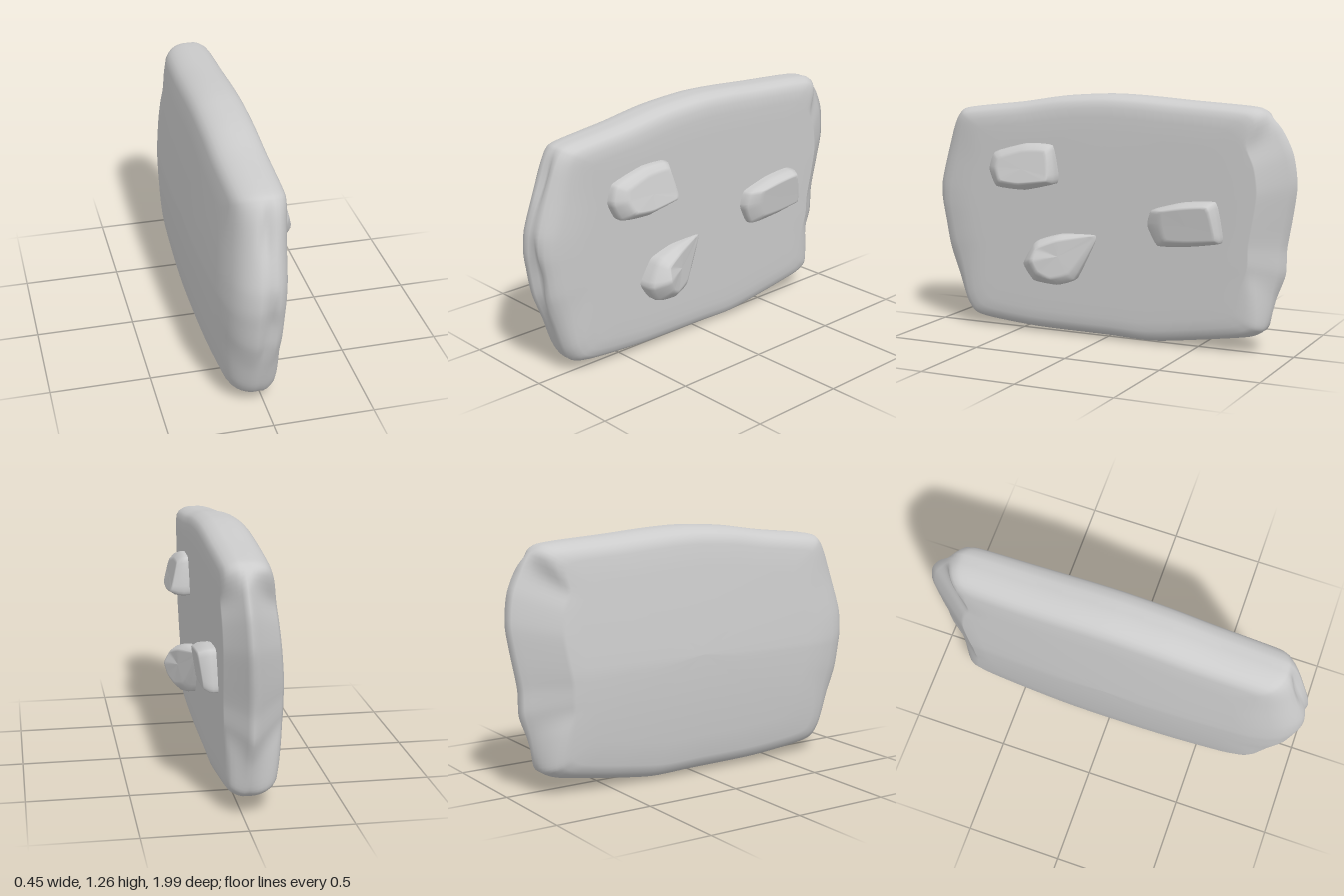
import * as THREE from 'three';

const material = new THREE.MeshStandardMaterial({ color: 0xcccccc });
const MID_Y = 0.63;

// Skins a stack of closed rings (arrays of [x, y, z]) with smooth normals.
function loft(rings, name) {
  const n = rings[0].length;
  const index = [];
  for (let r = 0; r < rings.length - 1; r++) {
    for (let i = 0; i < n; i++) {
      const j = (i + 1) % n;
      const a = r * n + i, b = r * n + j, c = a + n, d = b + n;
      index.push(a, b, c, b, d, c);
    }
  }
  const geometry = new THREE.BufferGeometry();
  geometry.setAttribute('position', new THREE.Float32BufferAttribute(rings.flat(2), 3));
  geometry.setIndex(index);
  geometry.computeVertexNormals();
  const mesh = new THREE.Mesh(geometry, material);
  mesh.name = name;
  return mesh;
}

// Closed curve through [x, y, z] points; low tension keeps the sides nearly straight.
function closedLoop(points, count, tension) {
  const vectors = points.map((p) => new THREE.Vector3(...p));
  const curve = new THREE.CatmullRomCurve3(vectors, true, 'catmullrom', tension);
  return Array.from({ length: count }, (_, i) => curve.getPoint(i / count).toArray());
}

// Slab outline as [z, y], from the front upper corner over the top.
const slabOutline = [
  [0.86, 1.14], [0.8, 1.17], [0.5, 1.205], [0.25, 1.243], [0, 1.26], [-0.2, 1.255], [-0.45, 1.238],
  [-0.75, 1.22], [-0.83, 1.2], [-0.92, 1.12], [-0.98, 1], [-1, 0.85], [-0.98, 0.7], [-0.95, 0.53],
  [-0.945, 0.4], [-0.9, 0.28], [-0.86, 0.14], [-0.82, 0.1], [-0.75, 0.075], [-0.5, 0.035],
  [-0.25, 0.003], [0, 0.008], [0.4, 0.012], [0.7, 0.035], [0.8, 0.06], [0.85, 0.13], [0.9, 0.27],
  [0.96, 0.42], [0.985, 0.55], [1, 0.65], [0.995, 0.76], [0.95, 0.92], [0.9, 1.07],
];

// Slab profile: [depth from the +x face (0) to the -x face (1), inset from the outline].
const slabProfile = [
  [0, 0.63], [0, 0.5], [0, 0.35], [0, 0.2], [0, 0.11], [0.015, 0.065], [0.05, 0.037], [0.1, 0.022],
  [0.17, 0.012], [0.25, 0.004], [0.33, 0], [0.42, 0.001], [0.5, 0], [0.58, 0.001], [0.66, 0.004],
  [0.75, 0.01], [0.83, 0.019], [0.9, 0.031], [0.96, 0.05], [1, 0.085], [1, 0.2], [1, 0.35],
  [1, 0.5], [1, 0.63],
];

// Depth of the -x face: thickest at mid height, thinner toward the rim.
function backFace(y, z) {
  const rise = y > 0.6 ? 0.065 * ((y - 0.6) / 0.6) ** 1.2 : 0.035 * ((0.6 - y) / 0.5) ** 2;
  return Math.min(-0.23 + rise + 0.04 * z * z, -0.145);
}

function createSlab() {
  const outline = closedLoop(slabOutline.map(([z, y]) => [0, y, z]), 33 * 5, 0.4);
  const rings = slabProfile.map(([k, inset]) => outline.map(([, y0, z0]) => {
    const end = THREE.MathUtils.smoothstep(Math.abs(z0), 0.84, 0.95);
    // Rear end comes to a blunt ridge, front end has a softer bevel
    const bevel = z0 < 0 ? Math.max(inset, 0.26 * Math.abs(k - 0.43)) : Math.max(inset, Math.min(inset * 1.7, 0.15));
    // Worn vertical grooves on the two short ends
    const groove = Math.exp(-(((k - 0.42 - 0.06 * Math.sin(y0 * 7 + z0)) / 0.1) ** 2));
    const wear = z0 > 0 ? groove * (0.016 + 0.01 * Math.sin(y0 * 11 + 2)) : 0;
    const total = THREE.MathUtils.lerp(inset, bevel + wear, end);
    const s = 1 - Math.min(total, 0.63) / 0.63;
    const y = MID_Y + (y0 - MID_Y) * s;
    const z = z0 * s;
    const front = 0.073 + 0.03 * Math.min(1, y / 1.1);
    return [THREE.MathUtils.lerp(front, backFace(y, z), k), y, z];
  }));
  return loft(rings, 'slab');
}

// Stones: footprint corners [z, y] matched to crown corners [z, y, x].
const stones = [
  {
    name: 'upperStone',
    foot: [[0.6, 0.95], [0.42, 1], [0.27, 0.995], [0.24, 0.85], [0.25, 0.8], [0.42, 0.76], [0.58, 0.77], [0.63, 0.86]],
    crown: [[0.55, 0.92, 0.168], [0.42, 0.96, 0.16], [0.29, 0.965, 0.16], [0.26, 0.85, 0.188],
      [0.27, 0.82, 0.197], [0.42, 0.8, 0.2], [0.53, 0.81, 0.198], [0.56, 0.87, 0.18]],
  },
  {
    name: 'rearStone',
    foot: [[-0.29, 0.7], [-0.45, 0.745], [-0.62, 0.755], [-0.655, 0.6], [-0.65, 0.555], [-0.5, 0.53], [-0.32, 0.52], [-0.265, 0.62]],
    crown: [[-0.36, 0.7, 0.174], [-0.45, 0.72, 0.178], [-0.6, 0.735, 0.18], [-0.63, 0.62, 0.163],
      [-0.63, 0.575, 0.157], [-0.5, 0.56, 0.155], [-0.38, 0.56, 0.155], [-0.36, 0.63, 0.164]],
  },
  {
    name: 'lowerStone',
    foot: [[0.35, 0.5], [0.22, 0.54], [0.04, 0.545], [0.035, 0.51], [0.14, 0.31], [0.24, 0.275], [0.36, 0.29], [0.42, 0.38]],
    crown: [[0.32, 0.47, 0.198], [0.22, 0.51, 0.166], [0.06, 0.535, 0.1], [0.06, 0.51, 0.1],
      [0.16, 0.35, 0.148], [0.25, 0.32, 0.182], [0.31, 0.35, 0.21], [0.335, 0.41, 0.225]],
  },
];

function createStone({ name, foot, crown }) {
  const n = crown.length;
  const loop = (points) => closedLoop(points, n * 4, 0.2);
  const centre = [0, 1, 2].map((a) => crown.reduce((sum, p) => sum + p[a], 0) / n);
  const mix = THREE.MathUtils.lerp;
  // Crown scaled toward its centre
  const cap = (s) => loop(crown.map(([z, y, x]) => [mix(centre[2], x, s), mix(centre[1], y, s), mix(centre[0], z, s)]));
  // Flank between crown and footprint
  const flank = (spread, drop) => loop(crown.map(([z, y, x], i) =>
    [mix(x, 0.08, drop), mix(y, foot[i][1], spread), mix(z, foot[i][0], spread)]));
  const base = loop(foot.map(([z, y]) => [0.03, y, z]));
  return loft([cap(0), cap(0.5), cap(0.92), cap(1), flank(0.25, 0.06), flank(0.85, 0.35), flank(1, 0.6), base], name);
}

export function createModel() {
  const group = new THREE.Group();
  group.name = 'studdedSlab';
  group.add(createSlab(), ...stones.map(createStone));
  return group;
}
